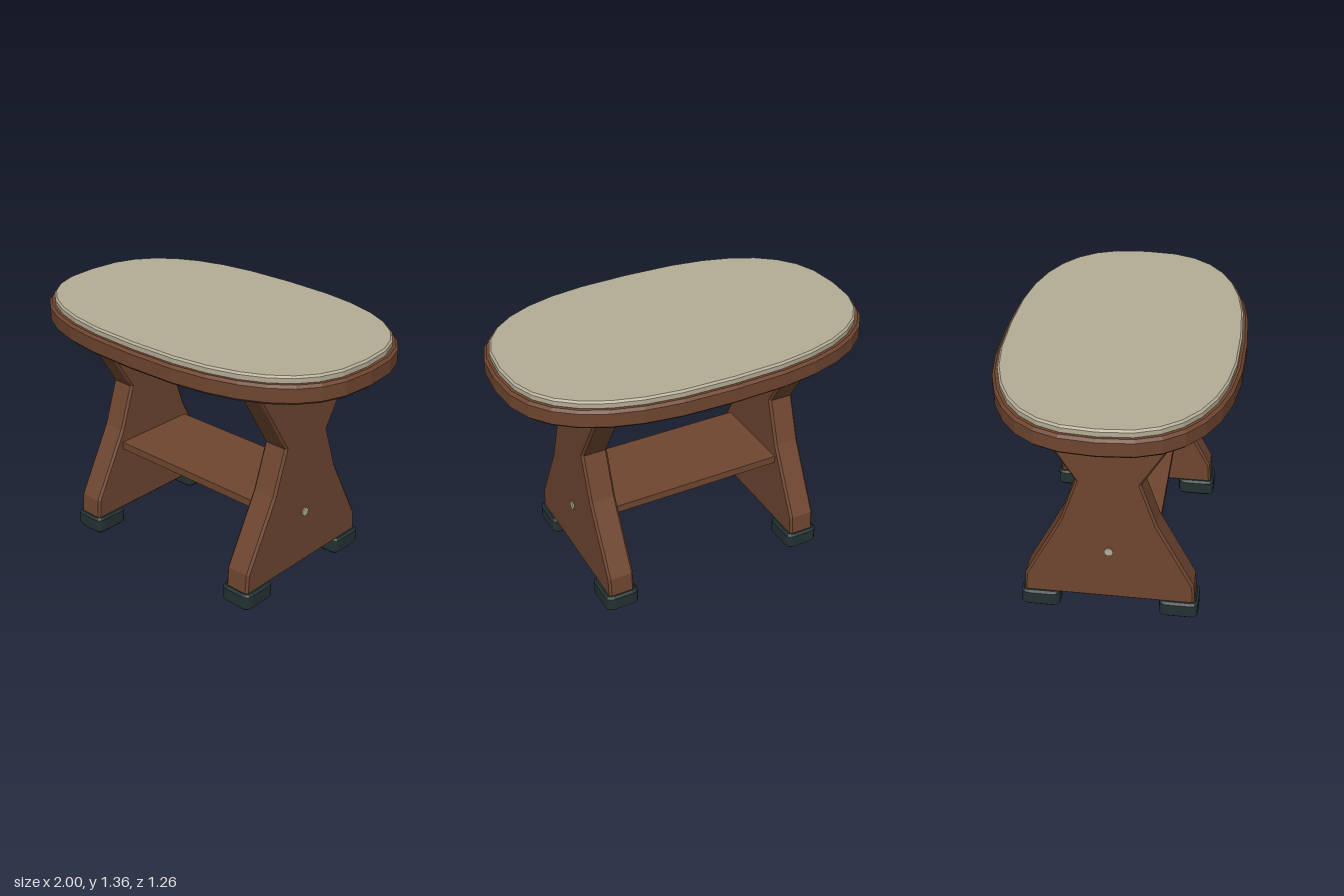
import * as THREE from 'three';

const mat = (name, color) => new THREE.MeshStandardMaterial({ name, color });

// Extrude a shape to a chamfered slab centred on its depth axis
function slab(shape, thickness, bevel, curveSegments = 2) {
  const g = new THREE.ExtrudeGeometry(shape, {
    depth: thickness - 2 * bevel, bevelEnabled: true, bevelThickness: bevel,
    bevelSize: bevel, bevelOffset: -bevel, bevelSegments: 1, curveSegments
  });
  return g.translate(0, 0, -(thickness - 2 * bevel) / 2);
}

const polygon = pts => new THREE.Shape(pts.map(([x, y]) => new THREE.Vector2(x, y)));

// Softened oval outline with 32 sides
function oval(a, b) {
  const soft = v => Math.sign(v) * Math.pow(Math.abs(v) < 1e-9 ? 0 : Math.abs(v), 0.78);
  return polygon(Array.from({ length: 32 }, (_, i) => {
    const t = (i / 32) * Math.PI * 2;
    return [a * soft(Math.cos(t)), b * soft(Math.sin(t))];
  }));
}

function rect(w, h) {
  const x = w / 2, y = h / 2;
  return polygon([[-x, -y], [x, -y], [x, y], [-x, y]]);
}

// Rectangle with rounded corners
function roundRect(w, h, r) {
  const s = new THREE.Shape(), x = w / 2, y = h / 2;
  s.moveTo(-x + r, -y).lineTo(x - r, -y).quadraticCurveTo(x, -y, x, -y + r);
  s.lineTo(x, y - r).quadraticCurveTo(x, y, x - r, y);
  s.lineTo(-x + r, y).quadraticCurveTo(-x, y, -x, y - r);
  s.lineTo(-x, -y + r).quadraticCurveTo(-x, -y, -x + r, -y);
  return s;
}

export function createModel() {
  const group = new THREE.Group();
  group.name = 'stool';
  const wood = mat('brown wood', 0x6f4630);
  const cream = mat('cream cushion', 0xb5ad97);
  const rubber = mat('dark rubber', 0x243232);

  const add = (name, geometry, material, x, y, z) => {
    const m = new THREE.Mesh(geometry, material);
    m.name = name;
    m.position.set(x, y, z);
    group.add(m);
  };

  // Seat board and its thin pad
  add('seatBoard', slab(oval(1, 0.632), 0.1, 0.014).rotateX(-Math.PI / 2), wood, 0, 1.27, 0);
  add('seatPad', slab(oval(0.972, 0.605), 0.045, 0.01).rotateX(-Math.PI / 2), cream, 0, 1.333, 0);

  // Waisted side panel, half profile mirrored
  const half = [[0.455, 0.082], [0.447, 0.2], [0.25, 0.575], [0.167, 0.82], [0.395, 1.195]];
  const profile = polygon([...half, ...half.map(([z, y]) => [-z, y]).reverse()]);
  const panel = slab(profile, 0.144, 0.012).rotateY(-Math.PI / 2);
  const cleat = slab(rect(0.866, 0.045), 0.156, 0.008).rotateY(-Math.PI / 2);
  const foot = slab(roundRect(0.187, 0.208, 0.04), 0.094, 0.012, 3).rotateX(-Math.PI / 2);
  const plug = new THREE.CylinderGeometry(0.024, 0.024, 0.02, 12).rotateZ(Math.PI / 2);

  for (const [side, s] of [['left', 1], ['right', -1]]) {
    add(side + 'SidePanel', panel, wood, s * 0.559, 0, 0);
    add(side + 'Cleat', cleat, wood, s * 0.559, 1.2, 0);
    add(side + 'Plug', plug, cream, s * 0.628, 0.39, 0);
    add(side + 'FrontFoot', foot, rubber, s * 0.559, 0.047, 0.369);
    add(side + 'BackFoot', foot, rubber, s * 0.559, 0.047, -0.369);
  }

  // Shelf with a stretcher beam beneath, running between the panels
  add('shelf', slab(rect(0.5, 0.042), 1.0, 0.008).rotateY(-Math.PI / 2), wood, 0, 0.481, 0);
  add('stretcher', slab(rect(0.12, 0.15), 1.0, 0.008).rotateY(-Math.PI / 2), wood, 0, 0.39, 0);

  return group;
}
